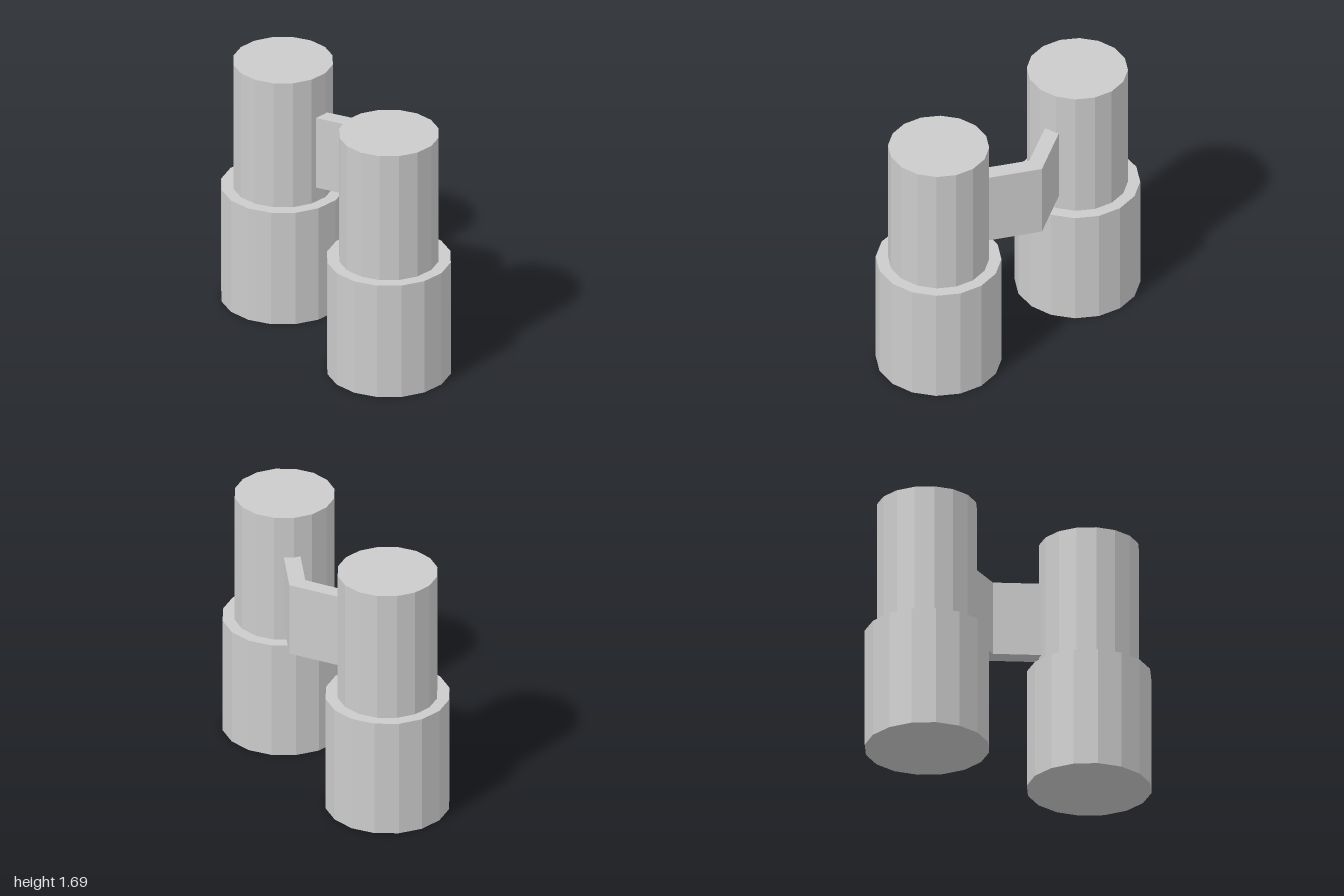
import * as THREE from 'three';

const material = new THREE.MeshStandardMaterial({ color: 0xcccccc, flatShading: true });

function addDrum(parent, name, radius, bottom, top) {
  const mesh = new THREE.Mesh(new THREE.CylinderGeometry(radius, radius, top - bottom, 16), material);
  mesh.name = name;
  mesh.position.y = (bottom + top) / 2;
  parent.add(mesh);
}

export function createModel() {
  const model = new THREE.Group();
  model.name = 'twinBarrels';

  // Two stepped barrels, front and back
  for (const side of [1, -1]) {
    const barrel = new THREE.Group();
    barrel.name = side > 0 ? 'frontBarrel' : 'backBarrel';
    barrel.position.z = side * 0.6;
    addDrum(barrel, 'lowerDrum', 0.4, 0, 0.8);
    addDrum(barrel, 'upperDrum', 0.322, 0.8, 1.69);
    model.add(barrel);
  }

  // Bent bridge joining the upper drums, outlined in plan as (x, z)
  const outline = [
    [0.34, 0.02], [0.123, 0.44], [0.002, 0.44],
    [0.22, 0.02], [-0.04, -0.42], [0.073, -0.42],
  ].map(([x, z]) => new THREE.Vector2(x, z));
  const geometry = new THREE.ExtrudeGeometry(new THREE.Shape(outline), { depth: 0.5, bevelEnabled: false });
  geometry.rotateX(Math.PI / 2);
  const bridge = new THREE.Mesh(geometry, material);
  bridge.name = 'bridge';
  bridge.position.y = 1.4;
  model.add(bridge);

  return model;
}
